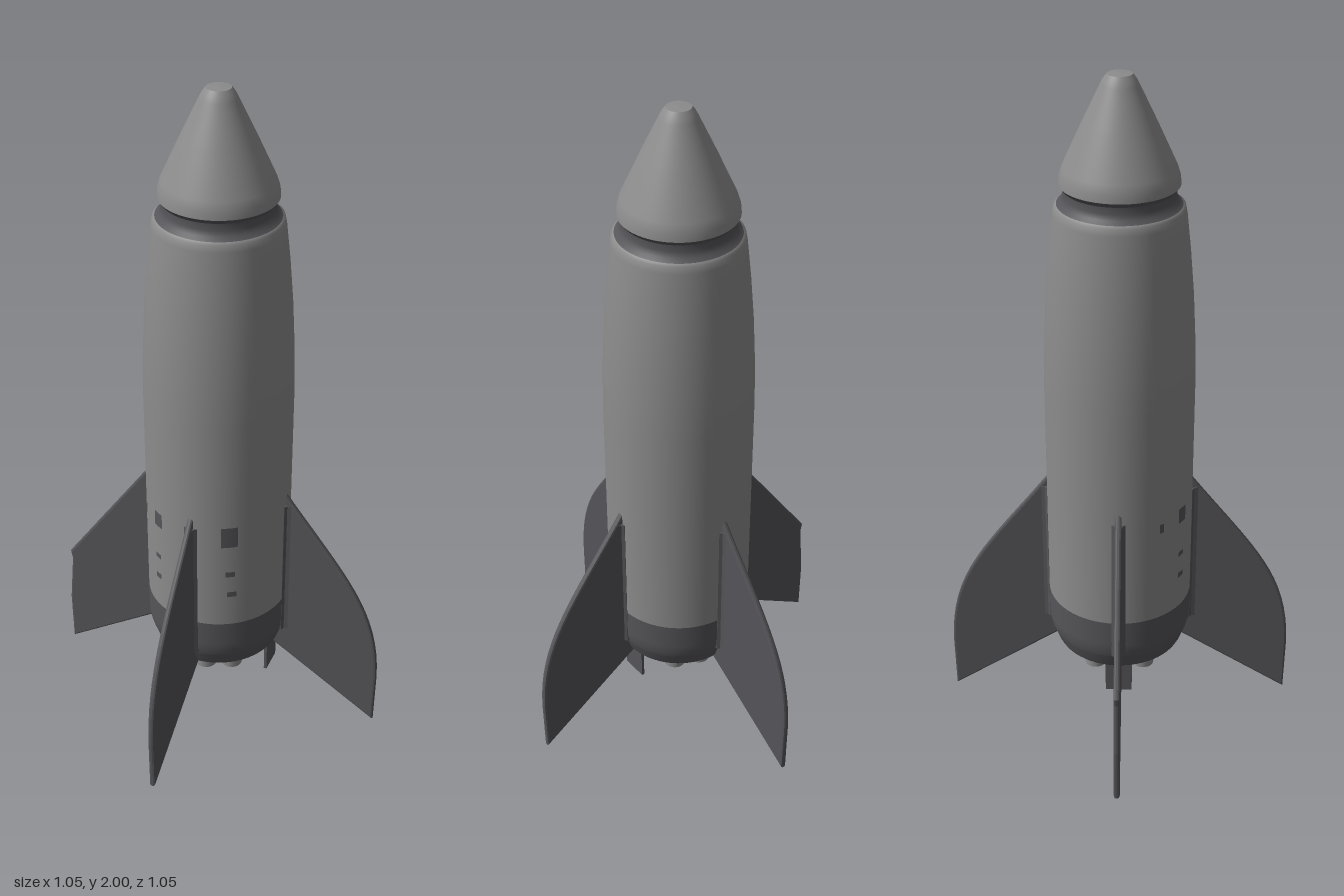
import * as THREE from 'three';

const material = (name, color) => {
  const m = new THREE.MeshStandardMaterial({ color });
  m.name = name;
  return m;
};

export function createModel() {
  const rocket = new THREE.Group();
  rocket.name = 'rocket';
  const hull = material('hull grey', 0x8c8c8c);
  const dark = material('dark grey', 0x56565a);

  const add = (name, geometry, mat, parent = rocket) => {
    const mesh = new THREE.Mesh(geometry, mat);
    mesh.name = name;
    parent.add(mesh);
    return mesh;
  };
  // Profiles run from bottom to top as [radius, height]
  const lathe = (name, pts, mat, segments = 64, parent = rocket) =>
    add(name, new THREE.LatheGeometry(pts.map(p => new THREE.Vector2(...p)), segments), mat, parent);

  // Nose cone with a small blunt tip
  lathe('noseCone', [[0.165, 1.703], [0.163, 1.725], [0.155, 1.75], [0.1, 1.87], [0.052, 1.97], [0.044, 1.985], [0.034, 1.998]], hull);
  lathe('noseTip', [[0.034, 1.998], [0, 2]], hull);

  // Recessed collar below the nose
  lathe('noseUnderside', [[0.155, 1.69], [0.165, 1.703]], dark);
  lathe('collar', [[0.172, 1.645], [0.16, 1.655], [0.154, 1.67], [0.155, 1.69]], dark);

  // Tapering body
  lathe('body', [[0.217, 0.4], [0.217, 0.8], [0.217, 1.1], [0.214, 1.23], [0.206, 1.38], [0.195, 1.51],
    [0.183, 1.62], [0.179, 1.64], [0.172, 1.646]], hull);

  // Engine skirt and base
  lathe('skirt', [[0.21, 0.272], [0.216, 0.295], [0.217, 0.32], [0.217, 0.4]], dark);
  lathe('skirtTaper', [[0.19, 0.222], [0.197, 0.235], [0.21, 0.272]], dark);
  lathe('base', [[0, 0.222], [0.19, 0.222]], dark);

  // Fins: three curved and one with a straight, notched edge
  const finShape = straight => {
    const s = new THREE.Shape();
    s.moveTo(0.17, 0.232);
    s.lineTo(0.52, 0.008);
    if (straight) {
      s.lineTo(0.52, 0.17);
      s.lineTo(0.505, 0.335);
      s.lineTo(0.51, 0.36);
      s.lineTo(0.21, 0.78);
    } else {
      s.lineTo(0.52, 0.17);
      s.bezierCurveTo(0.518, 0.43, 0.4, 0.53, 0.21, 0.78);
    }
    s.lineTo(0.17, 0.78);
    s.closePath();
    return s;
  };
  for (let i = 0; i < 4; i++) {
    const fin = new THREE.Group();
    fin.name = ['leftFin', 'backFin', 'rightFin', 'frontFin'][i];
    fin.rotation.y = i * Math.PI / 2;
    const geometry = new THREE.ExtrudeGeometry(finShape(i === 2), {
      depth: 0.006, curveSegments: 16, bevelEnabled: true, bevelThickness: 0.006, bevelSize: 0.007, bevelSegments: 2,
    });
    geometry.translate(0, 0, -0.003);
    add('finBlade', geometry, dark, fin);
    // Fillet where the fin meets the body
    const root = new THREE.Shape([[0.2, -0.024], [0.217, -0.02], [0.223, -0.012], [0.238, -0.008],
      [0.238, 0.008], [0.223, 0.012], [0.217, 0.02], [0.2, 0.024]].map(p => new THREE.Vector2(...p)));
    const fillet = new THREE.ExtrudeGeometry(root, { depth: 0.47, bevelEnabled: false });
    fillet.rotateX(-Math.PI / 2).translate(0, 0.28, 0);
    add('finFillet', fillet, dark, fin);
    rocket.add(fin);
  }

  // Nozzle cluster: eight around one
  const nozzle = (x, z, inner) => {
    const group = new THREE.Group();
    group.name = 'nozzle';
    group.position.set(x, 0, z);
    lathe('nozzleWall', [[0.033, 0.148], [0.033, 0.225]], hull, 20, group);
    lathe('nozzleRim', [[0.026, 0.148], [0.033, 0.148]], hull, 20, group);
    lathe('nozzleBore', [[0.024, 0.17], [0.026, 0.148]], inner, 20, group);
    lathe('nozzleThroat', [[0, 0.17], [0.024, 0.17]], inner, 20, group);
    rocket.add(group);
  };
  nozzle(0, 0, dark);
  for (let i = 0; i < 8; i++) {
    const a = i * Math.PI / 4;
    nozzle(0.104 * Math.cos(a), 0.104 * Math.sin(a), hull);
  }

  // Thin vanes hanging beside the nozzles
  for (const side of [-1, 1]) {
    add('baseVane', new THREE.BoxGeometry(0.009, 0.125, 0.08), dark).position.set(side * 0.175, 0.1825, 0);
  }

  // Small dark hatches on the front, as [x, y, width, height]
  const hatches = [[-0.115, 0.725, 0.03, 0.05], [-0.118, 0.59, 0.02, 0.016], [-0.118, 0.515, 0.022, 0.018],
    [0.11, 0.725, 0.042, 0.07], [0.113, 0.59, 0.024, 0.018], [0.116, 0.515, 0.024, 0.018], [-0.178, 0.715, 0.008, 0.03]];
  for (const [x, y, w, h] of hatches) {
    const arc = w / Math.sqrt(0.217 ** 2 - x * x);
    const plate = new THREE.CylinderGeometry(0.2185, 0.2185, h, 6, 1, true, Math.asin(x / 0.217) - arc / 2, arc);
    add('hatch', plate, dark).position.y = y;
  }
  return rocket;
}
